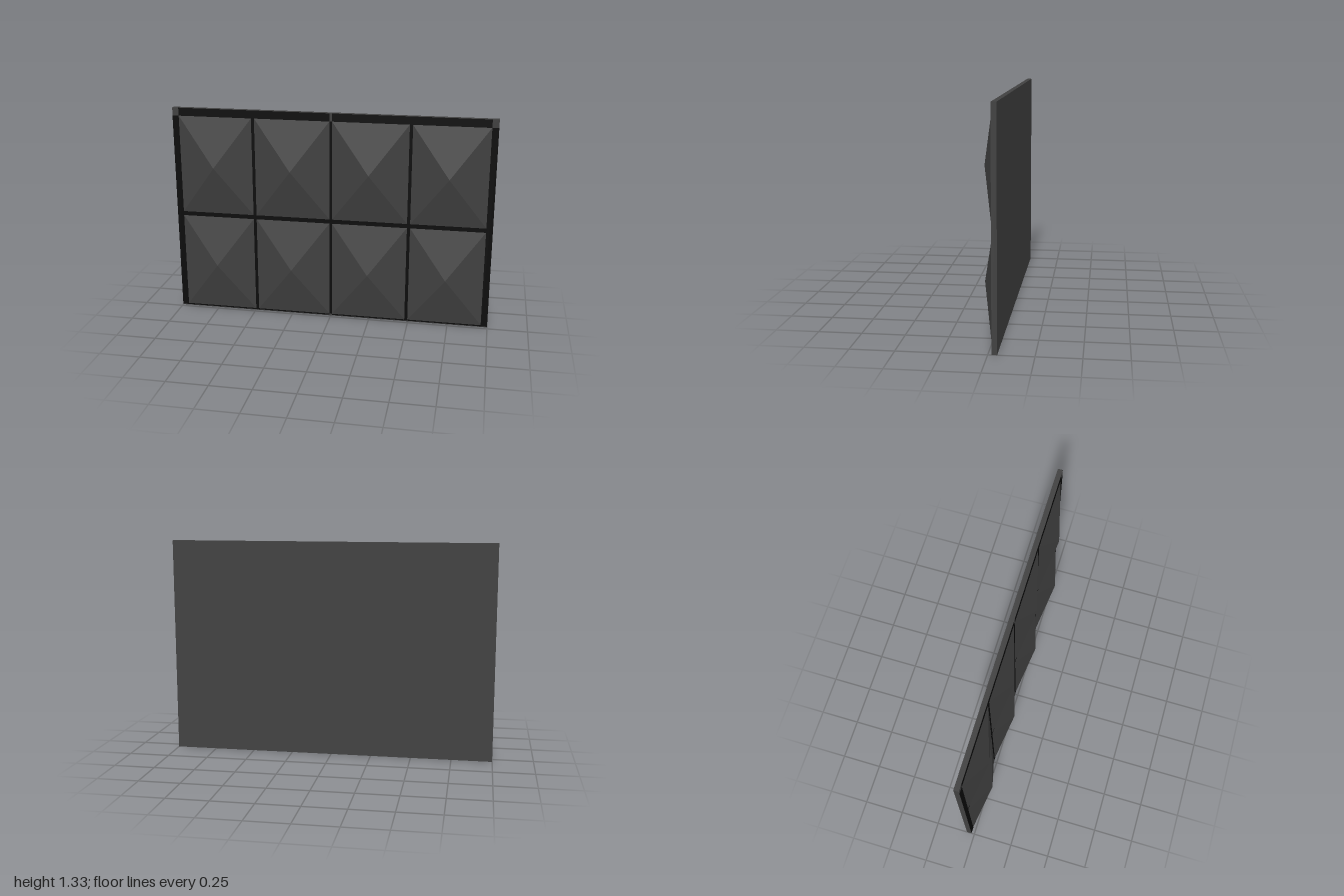
import * as THREE from 'three';

export function createModel() {
  const group = new THREE.Group();
  const panelMat = new THREE.MeshStandardMaterial({ color: 0x404040, flatShading: true });
  const grooveMat = new THREE.MeshStandardMaterial({ color: 0x0b0b0b });
  const W = 2, H = 1.33, backZ = -0.05, faceZ = -0.02, apexZ = 0.05;

  const add = (name, geometry, material, x, y, z) => {
    const mesh = new THREE.Mesh(geometry, material);
    mesh.name = name;
    mesh.position.set(x, y, z);
    group.add(mesh);
  };

  // Backing slab
  add('backPanel', new THREE.BoxGeometry(W, H, faceZ - backZ), panelMat, 0, H / 2, (faceZ + backZ) / 2);

  // Raised pyramid tiles, four columns by two rows
  const columns = [[-0.96, -0.497], [-0.478, -0.008], [0.008, 0.478], [0.497, 0.96]];
  const rows = [[0.013, 0.63], [0.657, 1.28]];
  const depth = apexZ - faceZ;
  for (const [x0, x1] of columns) {
    for (const [y0, y1] of rows) {
      const pyramid = new THREE.ConeGeometry(Math.SQRT1_2, 1, 4, 1, true)
        .rotateY(Math.PI / 4)
        .rotateX(Math.PI / 2)
        .scale(x1 - x0, y1 - y0, depth)
        .toNonIndexed();
      pyramid.computeVertexNormals();
      add('pyramidTile', pyramid, panelMat, (x0 + x1) / 2, (y0 + y1) / 2, faceZ + depth / 2);
    }
  }

  // Dark strips laid flush on the front face
  const strip = (name, x0, x1, y0, y1) =>
    add(name, new THREE.PlaneGeometry(x1 - x0, y1 - y0), grooveMat, (x0 + x1) / 2, (y0 + y1) / 2, faceZ + 0.001);
  for (const s of [-1, 1]) {
    const mirrored = (name, a, b, y0, y1) => strip(name, Math.min(s * a, s * b), Math.max(s * a, s * b), y0, y1);
    mirrored('sideStrip', 0.96, 1, 0.005, 1.28);
    mirrored('topStrip', 0.008, 0.96, 1.28, H);
    mirrored('bottomStrip', 0.008, 0.96, 0.005, 0.013);
    for (const [y0, y1] of rows) mirrored('columnGroove', 0.478, 0.497, y0, y1);
  }
  strip('rowGroove', -0.96, 0.96, 0.63, 0.657);
  for (const [y0, y1] of rows) strip('centreGroove', -0.008, 0.008, y0, y1);

  return group;
}
